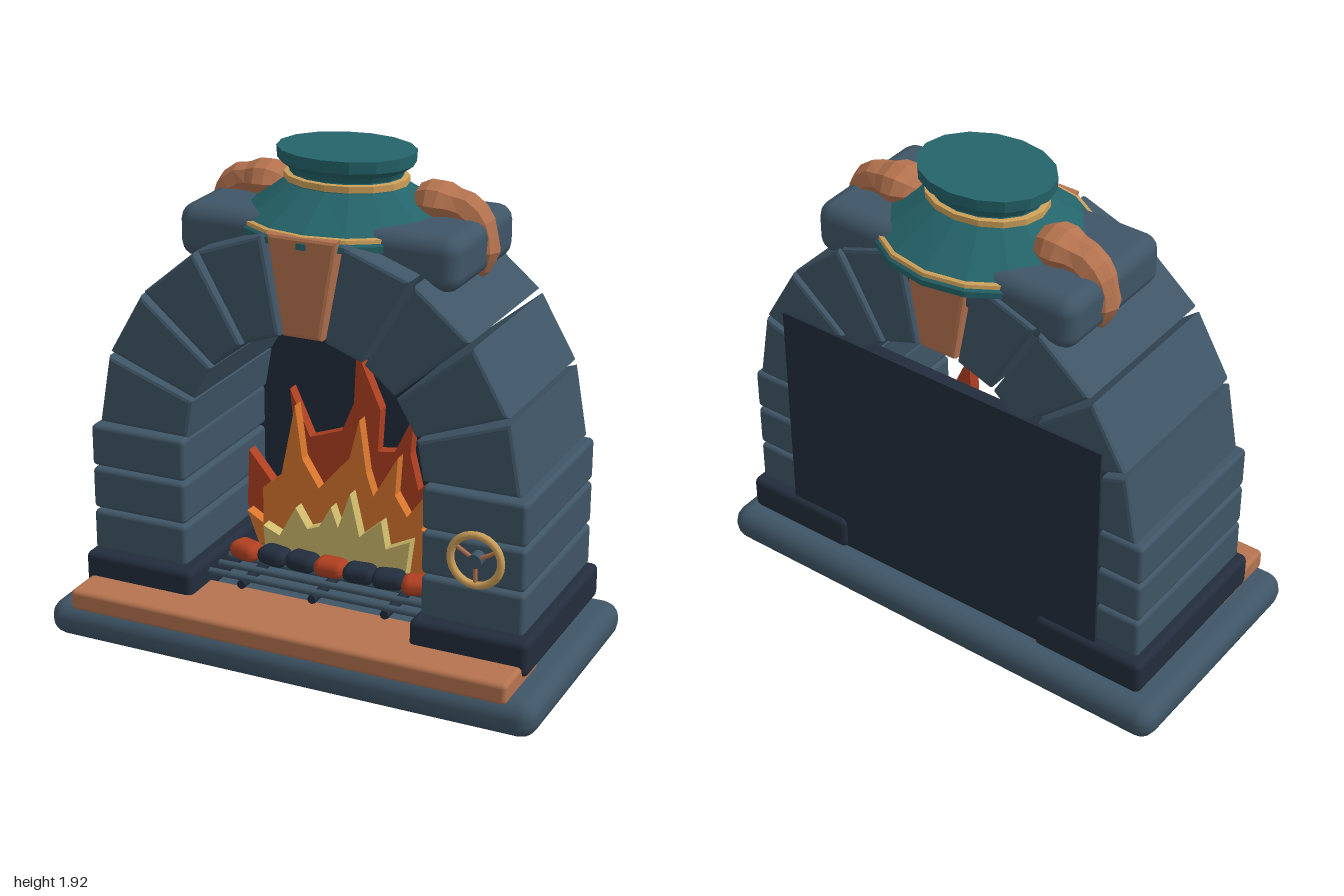
import * as THREE from 'three';
import { RoundedBoxGeometry } from 'three/addons/geometries/RoundedBoxGeometry.js';

const mat = (name, color) => {
  const m = new THREE.MeshStandardMaterial({ color });
  m.name = name;
  return m;
};

export function createModel() {
  const slate = mat('slate', 0x3f5566), dark = mat('dark iron', 0x232d3d), copper = mat('copper', 0xb5734f);
  const teal = mat('teal', 0x24646a), gold = mat('brass', 0xcda05a), red = mat('ember red', 0xb04022);
  const orange = mat('flame orange', 0xd8762e), yellow = mat('flame yellow', 0xd0bb6c);

  const root = new THREE.Group();
  root.name = 'fireplace';
  const add = (name, geo, material, x = 0, y = 0, z = 0, parent = root) => {
    const m = new THREE.Mesh(geo, material);
    m.name = name;
    m.position.set(x, y, z);
    parent.add(m);
    return m;
  };
  const group = (name) => {
    const g = new THREE.Group();
    g.name = name;
    root.add(g);
    return g;
  };
  // Rounded box given by its extents
  const block = (name, material, [x0, x1], [y0, y1], [z0, z1], r, parent = root) =>
    add(name, new RoundedBoxGeometry(x1 - x0, y1 - y0, z1 - z0, 2, r), material,
      (x0 + x1) / 2, (y0 + y1) / 2, (z0 + z1) / 2, parent);
  const faceted = (geo) => {
    const g = geo.index ? geo.toNonIndexed() : geo;
    g.computeVertexNormals();
    return g;
  };
  const shapeOf = (pts) => new THREE.Shape(pts.map(([x, y]) => new THREE.Vector2(x, y)));

  // Base, hearth and back wall
  block('baseSlab', slate, [-1, 1], [0, 0.143], [-0.492, 0.492], 0.065);
  block('hearthLedge', copper, [-0.895, 0.895], [0.13, 0.212], [0.16, 0.485], 0.018);
  add('backPanel', new THREE.BoxGeometry(1.42, 1.01, 0.05), dark, 0, 0.68, -0.385);

  // Side columns
  for (const s of [-1, 1]) {
    const column = group(s > 0 ? 'leftColumn' : 'rightColumn');
    const span = (a, b) => (s > 0 ? [a, b] : [-b, -a]);
    block('plinth', dark, span(0.45, 0.915), [0.168, 0.307], [-0.43, 0.333], 0.025, column);
    for (let i = 0; i < 3; i++) {
      const y = 0.312 + i * 0.176;
      block('columnStone', slate, span(0.485, 0.885), [y, y + 0.167], [-0.4, 0.305], 0.018, column);
    }
  }

  // Arch of nine wedge stones, the middle one a copper keystone
  const arch = group('arch');
  const bevel = 0.015, zBack = -0.4, zFront = 0.284;
  for (let i = 0; i < 9; i++) {
    const key = i === 4;
    const mid = THREE.MathUtils.degToRad(10 + i * 20), half = THREE.MathUtils.degToRad(9.3);
    const corner = (r, a) => [r * Math.cos(a), 0.83 + r * Math.sin(a)];
    const inner = 0.478, outer = key ? 0.862 : 0.855;
    const wedge = shapeOf([corner(inner, mid - half), corner(outer, mid - half),
      corner(outer, mid + half), corner(inner, mid + half)]);
    const geo = new THREE.ExtrudeGeometry(wedge, {
      depth: zFront - zBack - 2 * bevel, bevelEnabled: true, bevelSize: bevel,
      bevelThickness: bevel, bevelOffset: -bevel, bevelSegments: 2,
    });
    add(key ? 'keystone' : 'archStone', geo, key ? copper : slate, 0, 0, zBack + bevel, arch);
  }

  // Shoulder stone across the top
  block('shoulderStone', slate, [-0.555, 0.555], [1.507, 1.71], [-0.382, 0.19], 0.06);

  // Faceted oval chimney hood: a lathe narrowed in depth, more so toward the top
  const oval = (profile) => {
    const geo = new THREE.LatheGeometry(profile.map(([r, y]) => new THREE.Vector2(r, y)), 16);
    const p = geo.attributes.position;
    for (let i = 0; i < p.count; i++) {
      const t = THREE.MathUtils.smoothstep(p.getY(i), 1.68, 1.8);
      p.setZ(i, p.getZ(i) * THREE.MathUtils.lerp(0.9, 0.8, t));
    }
    return faceted(geo);
  };
  const hood = group('chimneyHood');
  hood.position.z = -0.095;
  add('hoodBody', oval([[0, 1.635], [0.425, 1.635], [0.425, 1.658], [0.395, 1.685], [0.23, 1.795],
    [0.215, 1.83], [0.225, 1.85], [0.262, 1.875], [0.265, 1.92], [0, 1.92]]), teal, 0, 0, 0, hood);
  add('rimBand', oval([[0.39, 1.655], [0.418, 1.656], [0.412, 1.68], [0.37, 1.69]]), gold, 0, 0, 0, hood);
  add('neckBand', oval([[0.2, 1.8], [0.238, 1.8], [0.238, 1.824], [0.2, 1.828]]), gold, 0, 0, 0, hood);

  // Copper clasps: tubes whose rings swell at the knob and close at both ends
  const swell = [0.01, 0.85, 1.1, 1.1, 0.9, 1, 1, 0.95, 0.85, 1, 0.8, 0.5, 0.01];
  for (const s of [-1, 1]) {
    const path = new THREE.CatmullRomCurve3([[0.24, 1.745], [0.36, 1.75], [0.46, 1.725],
      [0.515, 1.65], [0.515, 1.56], [0.51, 1.47]].map(([x, y]) => new THREE.Vector3(s * x, y, -0.14)));
    const n = swell.length - 1, sides = 8;
    const geo = new THREE.TubeGeometry(path, n, 0.07, sides);
    const p = geo.attributes.position, v = new THREE.Vector3();
    for (let i = 0; i < p.count; i++) {
      const ring = Math.floor(i / (sides + 1)), c = path.getPointAt(ring / n);
      v.fromBufferAttribute(p, i).sub(c).multiplyScalar(swell[ring]);
      v.z *= ring < 5 ? 1.25 : 1;
      v.add(c);
      p.setXYZ(i, v.x, v.y, v.z);
    }
    add(s > 0 ? 'leftClasp' : 'rightClasp', faceted(geo), copper);
  }

  // Layered flames
  const fire = group('fire');
  const flame = (name, material, z, pts) => add(name, new THREE.ExtrudeGeometry(shapeOf(pts),
    { depth: 0.05, bevelEnabled: false }), material, 0, 0, z, fire);
  flame('backFlame', red, -0.17, [[-0.38, 0.29], [-0.44, 0.42], [-0.43, 0.65], [-0.33, 0.53], [-0.22, 0.64],
    [-0.25, 0.935], [-0.165, 0.75], [-0.03, 0.8], [0.02, 0.92], [0.03, 1.135], [0.13, 0.91], [0.12, 0.74],
    [0.19, 0.75], [0.27, 0.915], [0.255, 0.75], [0.29, 0.61], [0.39, 0.7], [0.375, 0.54], [0.445, 0.6],
    [0.43, 0.39], [0.38, 0.29]]);
  flame('middleFlame', orange, -0.11, [[-0.36, 0.29], [-0.41, 0.42], [-0.34, 0.38], [-0.34, 0.53], [-0.26, 0.6],
    [-0.2, 0.895], [-0.17, 0.68], [-0.1, 0.57], [0.03, 0.72], [0.07, 0.88], [0.1, 0.67], [0.13, 0.58],
    [0.23, 0.755], [0.22, 0.6], [0.27, 0.52], [0.37, 0.66], [0.33, 0.48], [0.41, 0.44], [0.36, 0.29]]);
  flame('frontFlame', yellow, -0.05, [[-0.3, 0.29], [-0.31, 0.4], [-0.24, 0.37], [-0.17, 0.5], [-0.12, 0.42],
    [-0.07, 0.44], [-0.02, 0.53], [0.01, 0.45], [0.06, 0.6], [0.1, 0.43], [0.19, 0.51], [0.21, 0.4],
    [0.31, 0.45], [0.29, 0.29]]);

  // Row of coals
  for (let i = -3; i <= 3; i++) {
    const coal = add('coal', new RoundedBoxGeometry(0.128, 0.07, 0.1, 2, 0.032), i % 3 ? dark : red,
      i * 0.121, 0.3, 0.035, fire);
    coal.rotation.y = i * 0.1;
  }

  // Grate: long bars over short cross bars
  const grate = group('grate');
  for (let i = 0; i < 4; i++) {
    add('grateBar', new THREE.CylinderGeometry(0.014, 0.014, 0.9, 8).rotateZ(Math.PI / 2), slate,
      0, 0.255, 0.18 - i * 0.08, grate);
  }
  for (const x of [-0.3, 0, 0.3]) {
    add('crossBar', new THREE.CylinderGeometry(0.018, 0.018, 0.32, 8).rotateX(Math.PI / 2), dark,
      x, 0.238, 0.05, grate);
  }

  // Valve wheel on the left column
  const wheel = group('valveWheel');
  wheel.position.set(0.71, 0.6, 0.337);
  add('wheelRim', new THREE.TorusGeometry(0.097, 0.015, 8, 28), gold, 0, 0, 0, wheel);
  add('wheelHub', new THREE.CylinderGeometry(0.027, 0.027, 0.06, 12).rotateX(Math.PI / 2), slate, 0, 0, -0.015, wheel);
  for (let i = 0; i < 3; i++) {
    const a = Math.PI / 6 + (i * Math.PI * 2) / 3;
    const spoke = add('wheelSpoke', new THREE.CylinderGeometry(0.008, 0.008, 0.075, 6).rotateZ(Math.PI / 2), copper,
      Math.cos(a) * 0.058, Math.sin(a) * 0.058, 0, wheel);
    spoke.rotation.z = a;
  }
  return root;
}
